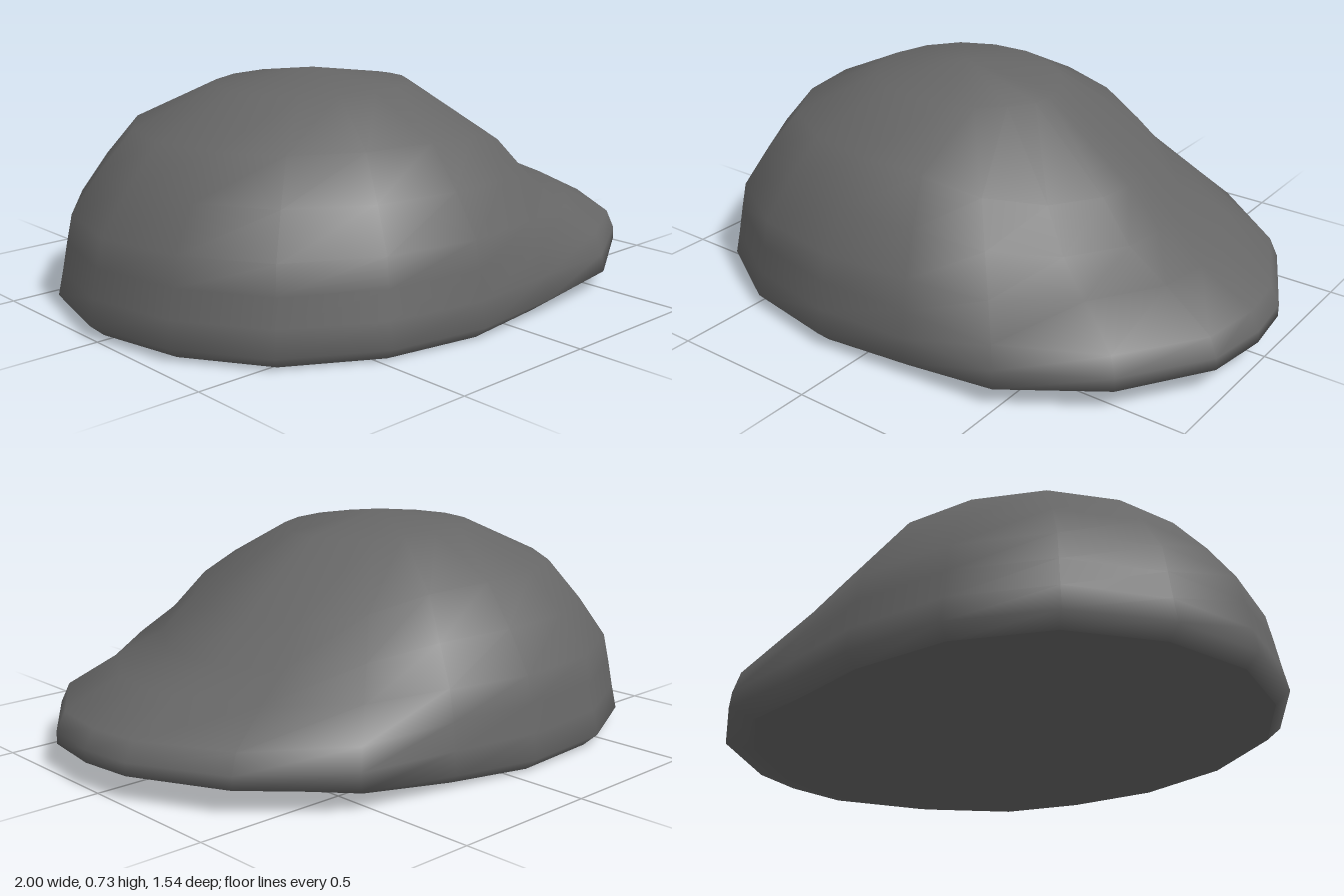
import * as THREE from 'three';

// Plan outline of the cap as [x, z], starting at the brim tip
const OUTLINE = [
  [1, 0.06], [0.97, 0.27], [0.79, 0.54], [0.49, 0.72], [0.17, 0.745], [-0.15, 0.77],
  [-0.48, 0.71], [-0.77, 0.54], [-0.94, 0.27], [-1, -0.04], [-0.92, -0.35], [-0.72, -0.61],
  [-0.42, -0.75], [-0.08, -0.77], [0.22, -0.71], [0.55, -0.65], [0.83, -0.42], [0.98, -0.12],
];
// Profiles from hem to apex as [fraction of outline, height]
const CROWN = [[0.945, 0], [1, 0.04], [0.98, 0.12], [0.96, 0.21], [0.938, 0.3], [0.83, 0.43], [0.7, 0.56], [0.38, 0.685]];
const BRIM = [[0.896, 0.045], [1, 0.08], [1, 0.12], [0.974, 0.18], [0.817, 0.27], [0.678, 0.34], [0.574, 0.46], [0.296, 0.675]];
const APEX_X = -0.15;
const N = OUTLINE.length;

// Point on ring j at outline corner i: the crown profile melts into the brim towards +x
function ringPoint(i, j) {
  const [x, z] = OUTLINE[i];
  const f = THREE.MathUtils.smoothstep(x, -0.05, 0.92);
  const s = THREE.MathUtils.lerp(CROWN[j][0], BRIM[j][0], f);
  const y = THREE.MathUtils.lerp(CROWN[j][1], BRIM[j][1], f);
  return [APEX_X + (x - APEX_X) * s, y, z * s];
}

function makeMesh(name, positions, indices, material) {
  const geometry = new THREE.BufferGeometry();
  geometry.setAttribute('position', new THREE.Float32BufferAttribute(positions, 3));
  geometry.setIndex(indices);
  geometry.computeVertexNormals();
  const mesh = new THREE.Mesh(geometry, material);
  mesh.name = name;
  return mesh;
}

export function createModel() {
  const group = new THREE.Group();
  group.name = 'cap';
  const material = new THREE.MeshStandardMaterial({ color: 0x666666 });

  // Crown and brim: one smooth skin lofted through the rings and closed at the apex
  const positions = [];
  const indices = [];
  const rings = CROWN.length;
  for (let j = 0; j < rings; j++) {
    for (let i = 0; i < N; i++) positions.push(...ringPoint(i, j));
  }
  const apex = rings * N;
  positions.push(APEX_X, 0.73, 0);
  for (let j = 0; j < rings; j++) {
    for (let i = 0; i < N; i++) {
      const a = j * N + i;
      const b = j * N + (i + 1) % N;
      if (j === rings - 1) indices.push(a, apex, b);
      else indices.push(a, a + N, b, b, a + N, b + N);
    }
  }
  group.add(makeMesh('crownAndBrim', positions, indices, material));

  // Underside: flat fan closing the hem
  const base = [APEX_X, 0, 0];
  const fan = [];
  for (let i = 0; i < N; i++) {
    base.push(...ringPoint(i, 0));
    fan.push(0, 1 + i, 1 + (i + 1) % N);
  }
  group.add(makeMesh('underside', base, fan, material));

  return group;
}
